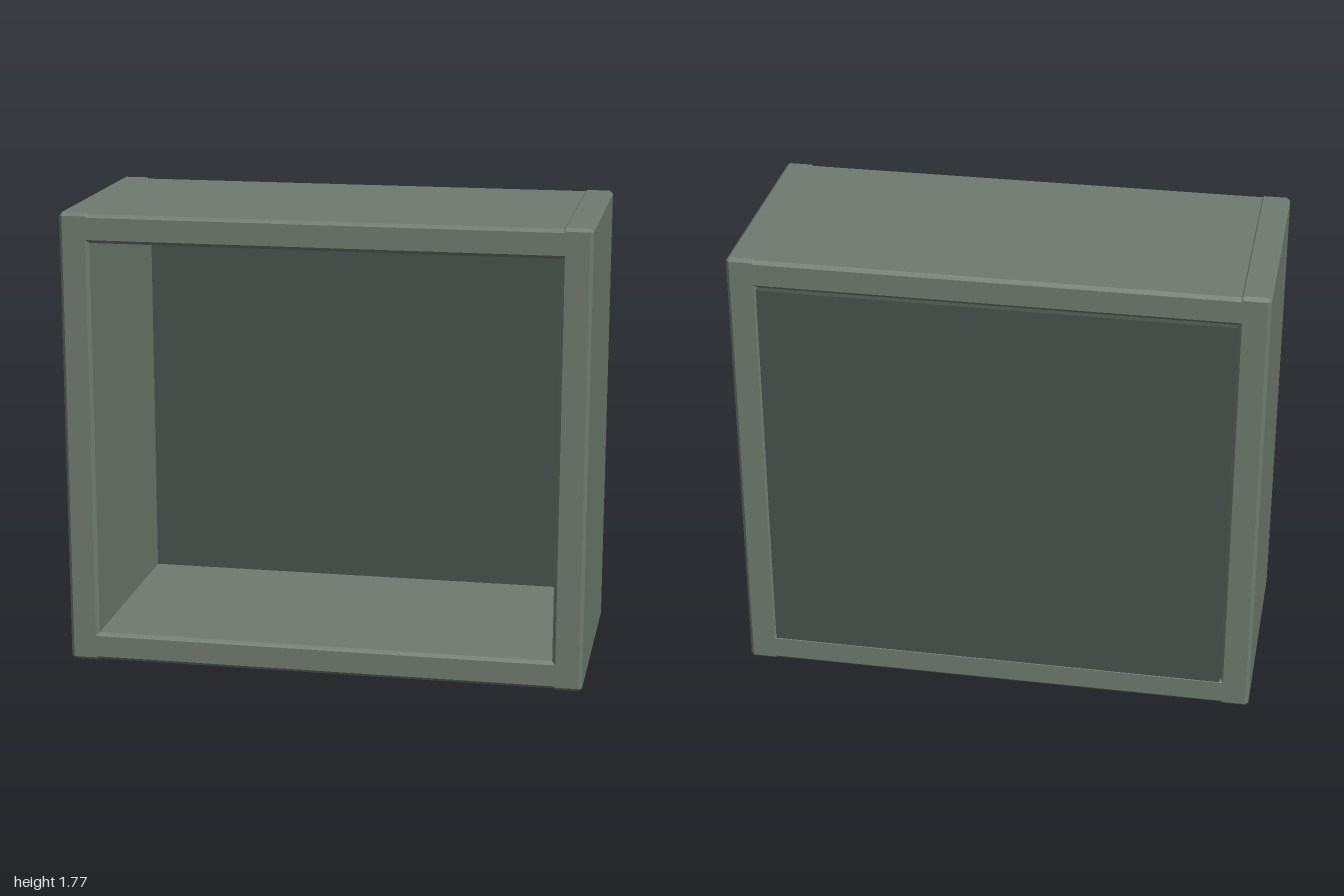
import * as THREE from 'three';
import { ConvexGeometry } from 'three/addons/geometries/ConvexGeometry.js';

// Box with every edge cut by a chamfer c
function chamferBox(w, h, d, c) {
  const points = [];
  for (const x of [-1, 1]) for (const y of [-1, 1]) for (const z of [-1, 1]) {
    for (let axis = 0; axis < 3; axis++) {
      const inset = [c, c, c];
      inset[axis] = 0;
      points.push(new THREE.Vector3(
        x * (w / 2 - inset[0]), y * (h / 2 - inset[1]), z * (d / 2 - inset[2])));
    }
  }
  return new ConvexGeometry(points);
}

export function createModel() {
  const model = new THREE.Group();
  model.name = 'openCabinet';
  const frame = new THREE.MeshStandardMaterial({ color: 0x6f7a6f });
  frame.name = 'greyGreen';
  const dark = new THREE.MeshStandardMaterial({ color: 0x47524a });
  dark.name = 'darkGreen';

  const add = (name, geometry, material, x, y, z) => {
    const mesh = new THREE.Mesh(geometry, material);
    mesh.name = name;
    mesh.position.set(x, y, z);
    model.add(mesh);
  };

  const height = 1.77, depth = 0.91, board = 0.115, chamfer = 0.013, midZ = 0.007;

  // Side boards, standing slightly proud of the top and bottom
  const side = chamferBox(board, height, depth, chamfer);
  add('leftSide', side, frame, 1 - board / 2, height / 2, midZ);
  add('rightSide', side, frame, -1 + board / 2, height / 2, midZ);

  // Top and bottom boards, let into the sides
  const shelf = chamferBox(1.97, 0.11, depth, chamfer);
  add('topBoard', shelf, frame, 0, 1.71, midZ);
  add('bottomBoard', shelf, frame, 0, 0.06, midZ);

  // Back panel, projecting a little behind the frame
  add('backPanel', new THREE.BoxGeometry(1.77, 1.54, 0.032), dark, 0, height / 2, -0.446);

  return model;
}
